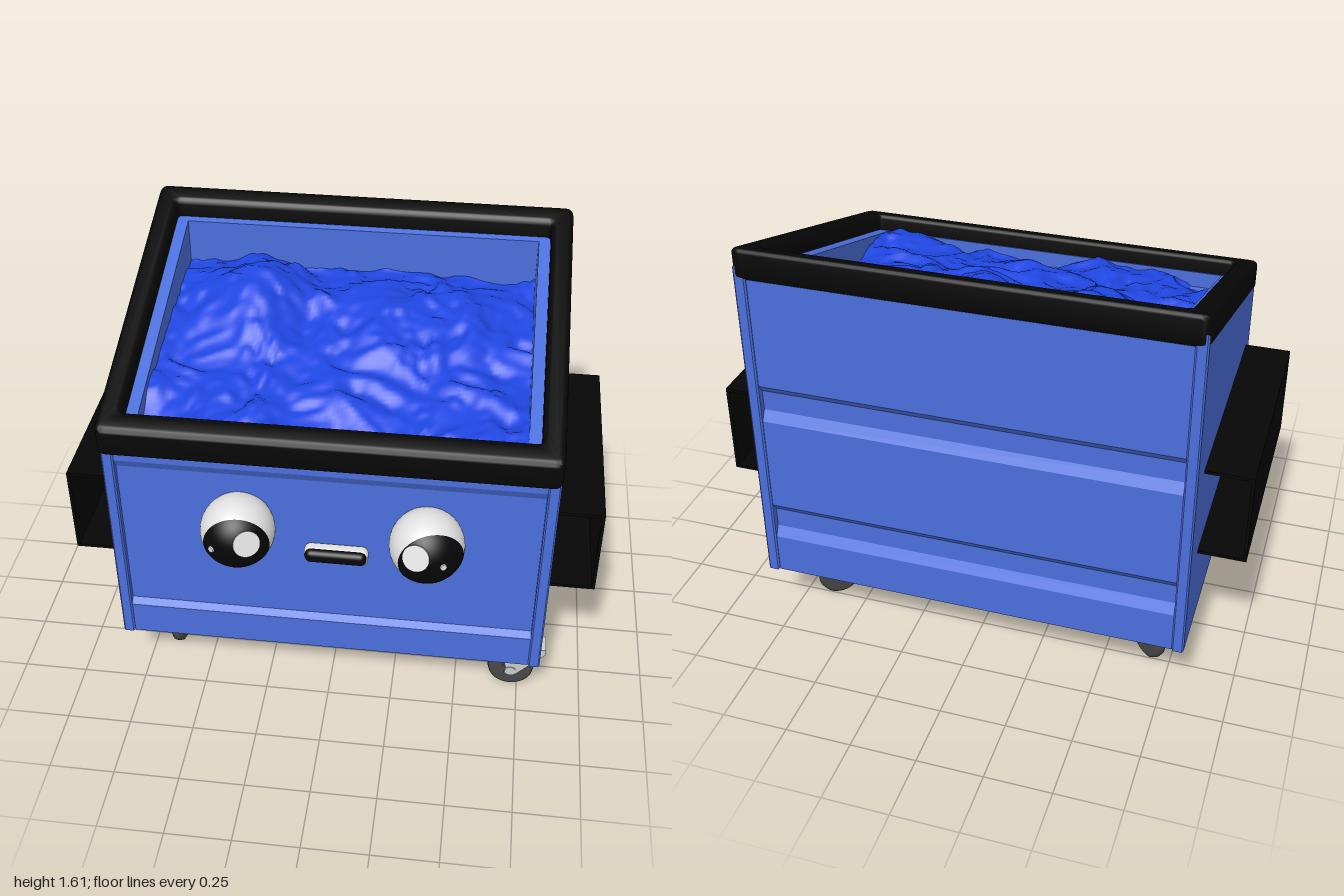
import * as THREE from 'three';
import { toCreasedNormals } from 'three/addons/utils/BufferGeometryUtils.js';
import { RoundedBoxGeometry } from 'three/addons/geometries/RoundedBoxGeometry.js';

const material = (name, color, side = THREE.FrontSide) => {
  const m = new THREE.MeshStandardMaterial({ color, side });
  m.name = name;
  return m;
};

const SLOPE = 0.311;
const rimBottom = (z) => 1.135 + SLOPE * (0.47 - z);
const wallTop = (z) => rimBottom(z) + 0.05;

// Smooth value noise in 0..1
const hash = (i, j) => {
  const s = Math.sin(i * 127.1 + j * 311.7) * 43758.5453;
  return s - Math.floor(s);
};
const noise = (x, y) => {
  const i = Math.floor(x), j = Math.floor(y);
  const u = THREE.MathUtils.smootherstep(x - i, 0, 1), v = THREE.MathUtils.smootherstep(y - j, 0, 1);
  return THREE.MathUtils.lerp(
    THREE.MathUtils.lerp(hash(i, j), hash(i + 1, j), u),
    THREE.MathUtils.lerp(hash(i, j + 1), hash(i + 1, j + 1), u), v);
};

export function createModel() {
  const model = new THREE.Group();
  model.name = 'dumpster';
  const blue = material('bodyBlue', 0x4b6fdc);
  const bagBlue = material('rubbishBlue', 0x1f46e2, THREE.DoubleSide);
  const black = material('black', 0x060606);
  const white = material('eyeWhite', 0xe2e2e2, THREE.DoubleSide);
  const steel = material('steel', 0xcccccc);
  const rubber = material('rubber', 0x484848);

  const add = (name, geo, mat, parent = model, pos = [0, 0, 0]) => {
    const mesh = new THREE.Mesh(geo, mat);
    mesh.name = name;
    mesh.position.set(...pos);
    parent.add(mesh);
    return mesh;
  };

  // Extrudes a (z, y) outline along x, centred on x = 0
  const alongX = (points, width, bevel = 0) => {
    const shape = new THREE.Shape(points.map(([z, y]) => new THREE.Vector2(z, y)));
    const geo = new THREE.ExtrudeGeometry(shape, {
      depth: width - 2 * bevel, bevelEnabled: bevel > 0, bevelSize: bevel,
      bevelThickness: bevel, bevelOffset: -bevel, bevelSegments: 1,
    });
    geo.translate(0, 0, bevel - width / 2).rotateY(-Math.PI / 2);
    return toCreasedNormals(geo, 0.3);
  };

  // Side walls: outer sheet with corner posts, and an inner lining
  const outline = (f, b) => [[b, 0.22], [f, 0.22], [f, wallTop(f)], [b, wallTop(b)]];
  for (const s of [-1, 1]) {
    add('sideWall', alongX(outline(0.47, -0.675), 0.045, 0.006), blue, model, [s * 0.8025, 0, 0]);
    add('sideLining', alongX(outline(0.43, -0.63), 0.08), blue, model, [s * 0.74, 0, 0]);
  }

  // Pressed front and back panels
  add('frontPanel', alongX([
    [0.41, 0.22], [0.462, 0.22], [0.462, 0.36], [0.442, 0.385], [0.442, 1.037],
    [0.462, 1.075], [0.462, wallTop(0.462)], [0.41, wallTop(0.41)],
  ], 1.56), blue);
  add('backPanel', alongX([
    [-0.57, 0.22], [-0.57, wallTop(-0.57)], [-0.667, wallTop(-0.667)], [-0.667, 1.06],
    [-0.645, 1.03], [-0.645, 0.95], [-0.667, 0.91], [-0.667, 0.53],
    [-0.645, 0.5], [-0.645, 0.42], [-0.667, 0.38], [-0.667, 0.22],
  ].reverse(), 1.56), blue);
  add('floor', new THREE.BoxGeometry(1.6, 0.02, 1.1), blue, model, [0, 0.235, -0.1]);
  add('innerShelf', new THREE.BoxGeometry(1.42, 0.02, 1.0), blue, model, [0, 1.13, -0.08]);

  // Sloping rounded rim
  const roundRect = (path, x, top, bottom, r) => {
    path.moveTo(-x + r, bottom);
    path.lineTo(x - r, bottom).quadraticCurveTo(x, bottom, x, bottom + r);
    path.lineTo(x, top - r).quadraticCurveTo(x, top, x - r, top);
    path.lineTo(-x + r, top).quadraticCurveTo(-x, top, -x, top - r);
    path.lineTo(-x, bottom + r).quadraticCurveTo(-x, bottom, -x + r, bottom);
    return path;
  };
  const ring = roundRect(new THREE.Shape(), 0.827, 0.68, -0.507, 0.035);
  ring.holes.push(roundRect(new THREE.Path(), 0.745, 0.595, -0.42, 0.02));
  const rim = new THREE.ExtrudeGeometry(ring, {
    depth: 0.08, bevelSize: 0.02, bevelThickness: 0.02, bevelOffset: -0.02, bevelSegments: 4, curveSegments: 6,
  });
  rim.translate(0, 0, 0.02).rotateX(-Math.PI / 2);
  const rp = rim.attributes.position;
  for (let i = 0; i < rp.count; i++) rp.setY(i, rp.getY(i) + rimBottom(rp.getZ(i)));
  add('rim', toCreasedNormals(rim, 0.7), black);

  // Crumpled rubbish heap
  const heap = new THREE.PlaneGeometry(1.41, 0.985, 110, 78).rotateX(-Math.PI / 2).translate(0, 0, -0.08);
  const hump = (x, z, cx, cz, rx, rz) => Math.exp(-(((x - cx) / rx) ** 2) - ((z - cz) / rz) ** 2);
  const heapY = (x, z) => {
    // Creases run diagonally, warped by a slower noise
    const w = noise(x * 5 + 9, z * 5 + 4);
    const u = x + 0.5 * z + 0.12 * w, v = z - 0.5 * x - 0.12 * w;
    const folds = 0.05 * noise(u * 5 + 20, v * 6 + 20) + 0.04 * noise(u * 10 + 40, v * 13 + 7)
      + 0.016 * noise(u * 22 + 60, v * 26 + 30);
    return 1.192 - 0.13 * z + folds - 0.035 * hump(x, z, -0.65, 0.38, 0.08, 0.08)
      - 0.07 * hump(x, z, 0.03, 0.38, 0.11, 0.1) - 0.05 * hump(x, z, 0.38, 0.41, 0.1, 0.06)
      + 0.16 * hump(x, z, -0.38, -0.32, 0.2, 0.24) + 0.1 * hump(x, z, 0.12, -0.28, 0.2, 0.28)
      + 0.05 * hump(x, z, 0.48, -0.25, 0.16, 0.3);
  };
  const hp = heap.attributes.position;
  for (let i = 0; i < hp.count; i++) hp.setY(i, heapY(hp.getX(i), hp.getZ(i)));
  heap.computeVertexNormals();
  add('rubbishHeap', heap, bagBlue);

  // Fork pockets: open channels on both sides
  for (const s of [-1, 1]) {
    const pocket = new THREE.Group();
    pocket.name = 'forkPocket';
    model.add(pocket);
    add('pocketFace', new THREE.BoxGeometry(0.012, 0.36, 0.91), black, pocket, [s * 0.994, 0.75, -0.075]);
    for (const y of [0.576, 0.924]) {
      add('pocketFlange', new THREE.BoxGeometry(0.18, 0.012, 0.91), black, pocket, [s * 0.91, y, -0.075]);
    }
  }

  // Eyes: white ball, black pupil cap, and two glints given as x, y, radius
  const FRONT = new THREE.Vector3(0, 0, 1);
  const R = 0.138;
  const eye = (x, gaze, glints) => {
    const g = new THREE.Group();
    g.name = 'eye';
    g.position.set(x, 0.842, 0.515);
    model.add(g);
    add('eyeball', new THREE.SphereGeometry(R, 40, 28), white, g);
    const cap = new THREE.SphereGeometry(R + 0.002, 40, 16, 0, Math.PI * 2, 0, 1.03).rotateX(Math.PI / 2);
    add('pupil', cap, black, g)
      .quaternion.setFromUnitVectors(FRONT, new THREE.Vector3(...gaze).normalize());
    for (const [gx, gy, r] of glints) {
      const dir = new THREE.Vector3(gx, gy, Math.sqrt(R * R - gx * gx - gy * gy)).normalize();
      const disc = new THREE.CylinderGeometry(r, r, 0.006, 28).rotateX(Math.PI / 2);
      const mesh = add('glint', disc, white, g);
      mesh.position.copy(dir).multiplyScalar(R + 0.005);
      mesh.quaternion.setFromUnitVectors(FRONT, dir);
    }
  };
  eye(-0.325, [0.12, -0.08, 1], [[0.055, 0.04, 0.05], [-0.072, 0, 0.012]]);
  eye(0.368, [0.28, -0.08, 1], [[-0.03, 0.045, 0.05], [0.065, 0.01, 0.012]]);

  // Mouth with a pale lip
  add('lip', new RoundedBoxGeometry(0.24, 0.068, 0.06, 4, 0.025), white, model, [0.032, 0.72, 0.47]);
  add('mouth', new RoundedBoxGeometry(0.23, 0.055, 0.06, 4, 0.022), black, model, [0.032, 0.724, 0.482]);

  // Swivel casters: wheel centre x, z and heading angle
  const plate = [[0.025, 0.075], [0.018, 0.105], [0.05, 0.21], [-0.13, 0.21], [-0.13, 0.195], [-0.022, 0.075]].reverse();
  const axial = (r, w, n = 32) => new THREE.CylinderGeometry(r, r, w, n).rotateZ(Math.PI / 2);
  const tyre = new THREE.LatheGeometry([
    [0.03, -0.022], [0.075, -0.025], [0.087, -0.018], [0.092, 0], [0.087, 0.018], [0.075, 0.025], [0.03, 0.022],
  ].map(([r, h]) => new THREE.Vector2(r, h)), 36).rotateZ(Math.PI / 2);
  for (const [x, z, angle] of [
    [0.72, 0.34, -Math.PI / 2], [-0.65, 0.25, Math.PI],
    [0.62, -0.47, -Math.PI / 4], [-0.66, -0.47, Math.PI / 4],
  ]) {
    const caster = new THREE.Group();
    caster.name = 'caster';
    caster.position.set(x, 0, z);
    caster.rotation.y = angle;
    model.add(caster);
    add('wheel', tyre, rubber, caster, [0, 0.092, 0]);
    add('hub', axial(0.034, 0.05), rubber, caster, [0, 0.092, 0]);
    add('axle', axial(0.022, 0.084, 20), steel, caster, [0, 0.092, 0]);
    for (const s of [-1, 1]) add('forkPlate', alongX(plate, 0.008), steel, caster, [s * 0.034, 0, 0]);
    add('mountPlate', new THREE.BoxGeometry(0.076, 0.02, 0.18), steel, caster, [0, 0.212, -0.04]);
  }
  return model;
}
